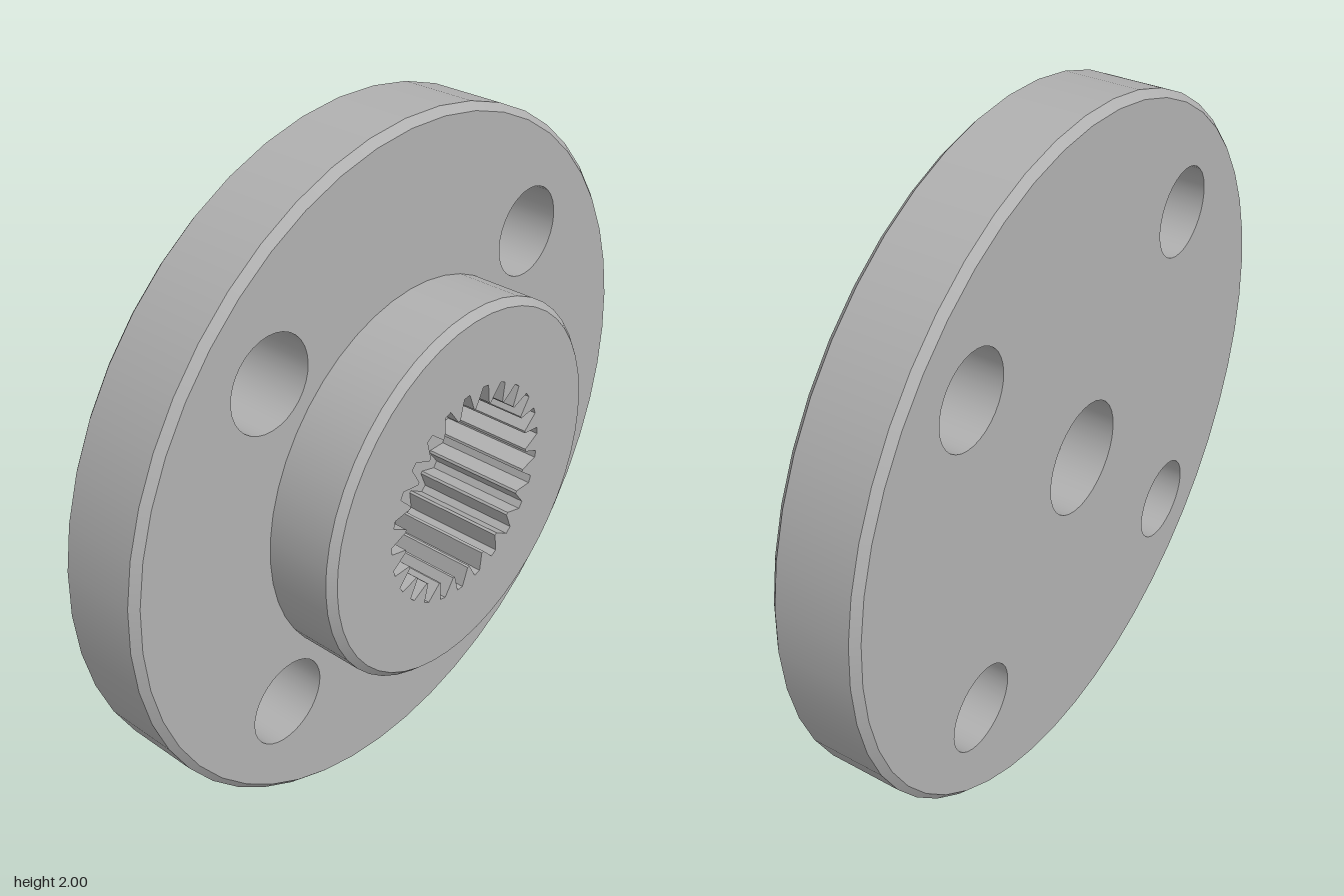
import * as THREE from 'three';

const SEG = 48;

// Points of a regular ring, in step with the lathed bands
function ring(radius, n = SEG, cx = 0, cy = 0) {
  return Array.from({ length: n }, (_, i) => {
    const a = (i / n) * Math.PI * 2;
    return new THREE.Vector2(cx + radius * Math.sin(a), cy - radius * Math.cos(a));
  });
}

// Outline of the toothed bore
function splineRing(teeth, tip, root) {
  const points = [];
  const pitch = (Math.PI * 2) / teeth;
  for (let i = 0; i < teeth; i++) {
    for (const [f, r] of [[-0.06, tip], [0.06, tip], [0.36, root], [0.64, root]]) {
      const a = (i + f) * pitch;
      points.push(new THREE.Vector2(r * Math.cos(a), r * Math.sin(a)));
    }
  }
  return points;
}

function plate(outer, holes) {
  const shape = new THREE.Shape(outer);
  holes.forEach((h) => shape.holes.push(new THREE.Path(h)));
  return shape;
}

export function createModel() {
  const steel = new THREE.MeshStandardMaterial({ color: 0xb0b0b0 });
  steel.name = 'grey steel';

  // Local z is the axis of the flange; z = 0 is its flat rear face
  const model = new THREE.Group();
  model.name = 'splinedFlange';

  const add = (name, geometry, z = 0) => {
    const mesh = new THREE.Mesh(geometry, steel);
    mesh.name = name;
    mesh.position.z = z;
    model.add(mesh);
  };
  // Band between two radii; swapping the ends turns it inward
  const band = (name, r0, z0, r1, z1, n = SEG, cx = 0, cy = 0) => {
    const g = new THREE.LatheGeometry([new THREE.Vector2(r0, z0), new THREE.Vector2(r1, z1)], n);
    g.rotateX(Math.PI / 2).translate(cx, cy, 0);
    add(name, g);
  };

  const R = 1, thick = 0.25, hubR = 0.55, top = 0.457, floor = 0.145;
  const bevel = 0.02, boreR = 0.167, boltR = 0.13, boltAt = 0.515;
  const bolts = [[1, 1], [-1, 1], [-1, -1], [1, -1]].map(([x, y]) => [x * boltAt, y * boltAt]);
  const boltRings = bolts.map(([x, y]) => ring(boltR, 32, x, y));

  // Flange rim with bevelled edges
  band('rearBevel', R - bevel, 0, R, bevel);
  band('flangeRim', R, bevel, R, thick - bevel);
  band('frontBevel', R, thick - bevel, R - bevel, thick);

  // Flange faces
  const rear = new THREE.ShapeGeometry(plate(ring(R - bevel), [ring(boreR, 32), ...boltRings]));
  rear.rotateY(Math.PI);
  add('flangeRearFace', rear);
  add('flangeFrontFace', new THREE.ShapeGeometry(plate(ring(R - bevel), [ring(hubR), ...boltRings])), thick);

  // Bolt holes and centre bore
  bolts.forEach(([x, y], i) => band('boltHole' + (i + 1), boltR, thick, boltR, 0, 32, x, y));
  band('centreBore', boreR, floor, boreR, 0, 32);
  add('pocketFloor', new THREE.ShapeGeometry(plate(ring(0.36), [ring(boreR, 32)])), floor);

  // Raised hub with its toothed pocket
  band('hubWall', hubR, thick, hubR, top - bevel);
  band('hubBevel', hubR, top - bevel, hubR - bevel, top);
  const sleeve = new THREE.ExtrudeGeometry(
    plate(ring(hubR - bevel), [splineRing(25, 0.265, 0.32)]),
    { depth: top - floor + 0.005, bevelEnabled: false }
  );
  add('toothedHub', sleeve, floor - 0.005);

  // Turn the axis towards the side
  model.rotation.y = THREE.MathUtils.degToRad(101.1);
  model.position.set(-0.185, 1, 0.02);

  const root = new THREE.Group();
  root.name = 'flange';
  root.add(model);
  return root;
}
